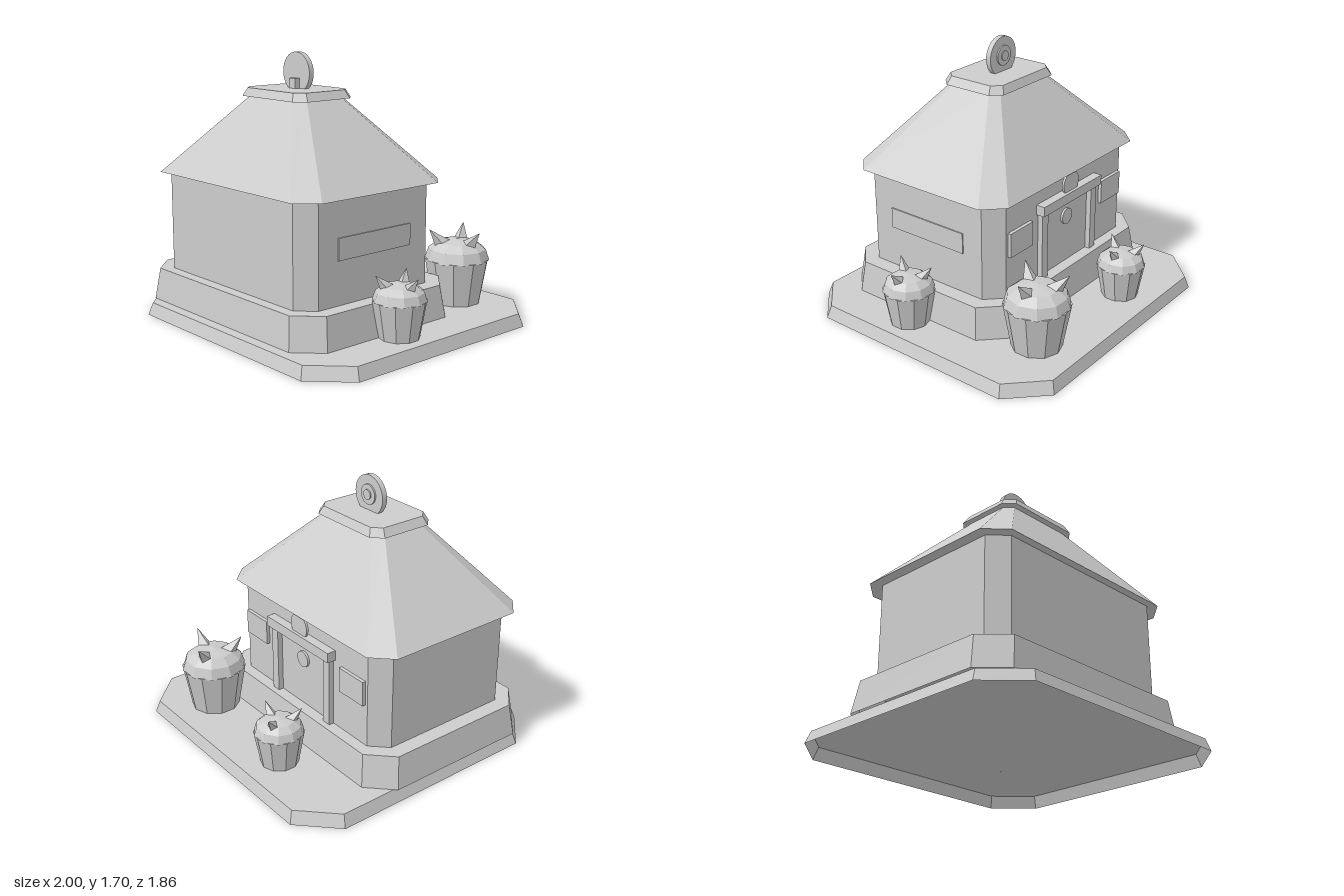
import * as THREE from 'three';

const stone = new THREE.MeshStandardMaterial({ color: 0xcccccc, side: THREE.DoubleSide });
stone.name = 'plain grey';

function add(parent, name, geometry, x = 0, y = 0, z = 0) {
  const mesh = new THREE.Mesh(geometry, stone);
  mesh.name = name;
  mesh.position.set(x, y, z);
  parent.add(mesh);
  return mesh;
}

function faceted(geometry) {
  const flat = geometry.toNonIndexed();
  flat.computeVertexNormals();
  return flat;
}

// Rectangle with cut corners, counter-clockwise seen from above
function cutRing({ x0, x1, z0, z1, cut }, y) {
  return [
    [x0 + cut, z1], [x1 - cut, z1], [x1, z1 - cut], [x1, z0 + cut],
    [x1 - cut, z0], [x0 + cut, z0], [x0, z0 + cut], [x0, z1 - cut],
  ].map(([x, z]) => new THREE.Vector3(x, y, z));
}

// Tapered block between two cut-corner rings, with or without an underside
function taperedBlock(bottom, y0, top, y1, underside = true) {
  const a = cutRing(bottom, y0), b = cutRing(top, y1), pts = [];
  for (let i = 0; i < 8; i++) {
    const j = (i + 1) % 8;
    pts.push(a[i], a[j], b[j], a[i], b[j], b[i]);
    if (i > 0 && i < 7) {
      pts.push(b[0], b[i], b[j]);
      if (underside) pts.push(a[0], a[j], a[i]);
    }
  }
  const geometry = new THREE.BufferGeometry().setFromPoints(pts);
  geometry.computeVertexNormals();
  return geometry;
}

const rect = (x0, x1, z0, z1, cut) => ({ x0, x1, z0, z1, cut });

// Disc facing along z, from z0 to z1
function disc(parent, name, radius, x, y, z0, z1) {
  const geometry = new THREE.CylinderGeometry(radius, radius, z1 - z0, 32);
  geometry.rotateX(Math.PI / 2);
  return add(parent, name, geometry, x, y, (z0 + z1) / 2);
}

// Box given by its limits
function slab(parent, name, x0, x1, y0, y1, z0, z1) {
  return add(parent, name, new THREE.BoxGeometry(x1 - x0, y1 - y0, z1 - z0),
    (x0 + x1) / 2, (y0 + y1) / 2, (z0 + z1) / 2);
}

// Ten-sided tapered plant with a domed top and three spikes
function createPlant(size) {
  const plant = new THREE.Group();
  plant.name = 'spikyPlant';

  const lathe = (points) =>
    faceted(new THREE.LatheGeometry(points.map(([r, y]) => new THREE.Vector2(r, y)), 10));
  add(plant, 'plantBody', lathe([[0, 0], [0.158, 0], [0.21, 0.29], [0, 0.29]]));
  const dome = add(plant, 'plantDome', lathe([[0.21, 0.285], [0.187, 0.355], [0.13, 0.4], [0, 0.42]]));
  dome.rotation.y = Math.PI / 2;

  const up = new THREE.Vector3(0, 1, 0);
  for (let i = 0; i < 3; i++) {
    const a = i * Math.PI * 2 / 3;
    const at = (r, y) => new THREE.Vector3(r * Math.cos(a), y, r * Math.sin(a));
    const base = at(0.085, 0.365), tip = at(0.19, 0.487);
    const along = tip.clone().sub(base);
    const cone = new THREE.ConeGeometry(0.06, along.length(), 4);
    cone.rotateY(-a);
    const spike = add(plant, 'plantSpike', faceted(cone));
    spike.position.copy(base).add(tip).multiplyScalar(0.5);
    spike.quaternion.setFromUnitVectors(up, along.normalize());
  }
  plant.scale.setScalar(size);
  return plant;
}

export function createModel() {
  const model = new THREE.Group();
  model.name = 'hut';
  const cx = -0.1375;

  // Ground slab (hollow below), plinth, walls and roof
  add(model, 'groundSlab', taperedBlock(rect(-1, 1, -0.93, 0.93, 0.225), 0, rect(-0.97, 0.97, -0.905, 0.905, 0.215), 0.08, false));
  add(model, 'plinth', taperedBlock(rect(-0.99, 0.71, -0.45, 0.835, 0.155), 0.08, rect(-0.955, 0.68, -0.42, 0.81, 0.15), 0.285, false));
  add(model, 'walls', taperedBlock(rect(-0.855, 0.58, -0.345, 0.737, 0.103), 0.285, rect(-0.855, 0.58, -0.345, 0.737, 0.103), 0.93));
  add(model, 'roof', taperedBlock(rect(-0.925, 0.647, -0.4, 0.787, 0.125), 0.925, rect(-0.405, 0.13, 0.01, 0.385, 0.05), 1.43));
  add(model, 'roofCap', taperedBlock(rect(-0.45, 0.175, -0.04, 0.43, 0.065), 1.425, rect(-0.417, 0.142, -0.015, 0.405, 0.055), 1.477));

  // Round emblem on the roof
  disc(model, 'roofDisc', 0.128, cx, 1.575, 0.16, 0.195);
  disc(model, 'roofDiscRing', 0.065, cx, 1.58, 0.15, 0.17);
  disc(model, 'roofDiscHub', 0.032, cx, 1.58, 0.142, 0.17);
  slab(model, 'roofDiscStand', cx - 0.03, cx + 0.03, 1.47, 1.54, 0.19, 0.228);

  // Panel on the left wall
  slab(model, 'sidePanel', 0.57, 0.588, 0.555, 0.69, -0.098, 0.487);

  // Doorway and panels on the back wall
  for (const s of [-1, 1]) {
    const px = cx + s * 0.265, wx = cx + s * 0.485;
    slab(model, 'doorPost', px - 0.03, px + 0.03, 0.285, 0.74, -0.38, -0.335);
    slab(model, 'backPanel', wx - 0.11, wx + 0.11, 0.56, 0.72, -0.368, -0.335);
  }
  slab(model, 'doorLintel', cx - 0.3125, cx + 0.3125, 0.735, 0.8, -0.405, -0.335);
  disc(model, 'doorKnob', 0.053, cx, 0.61, -0.36, -0.335);
  disc(model, 'doorSign', 0.08, cx, 0.85, -0.385, -0.37);

  // Plants around the hut
  for (const [x, z, size] of [[-0.31, -0.67, 0.75], [0.515, -0.61, 0.995], [0.78, 0.18, 0.785]]) {
    const plant = createPlant(size);
    plant.position.set(x, 0.08, z);
    model.add(plant);
  }
  return model;
}
